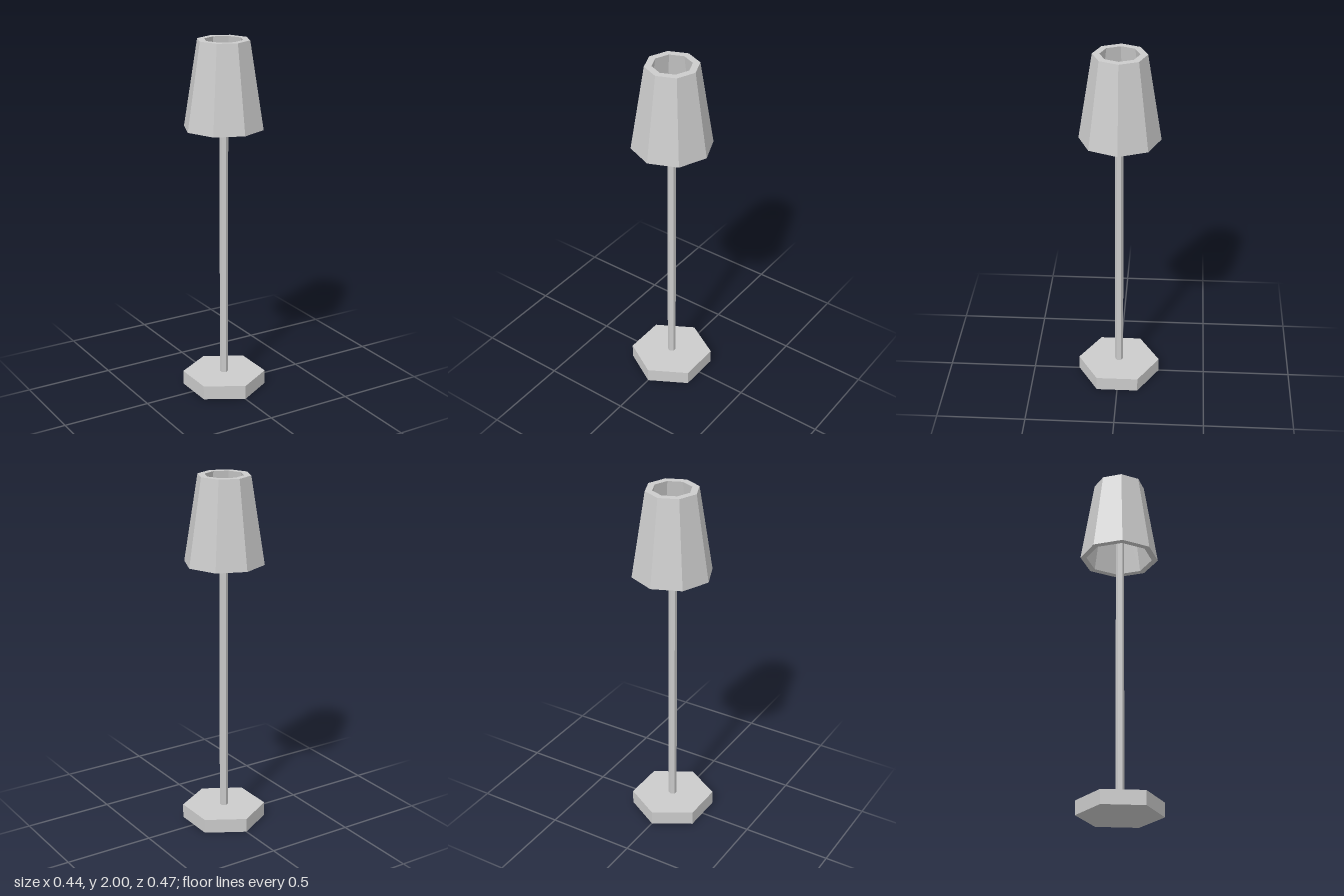
import * as THREE from 'three';

export function createModel() {
  const model = new THREE.Group();
  model.name = 'floorLamp';
  const material = new THREE.MeshStandardMaterial({ color: 0xcccccc, flatShading: true });

  const add = (name, geometry, y, z = 0) => {
    const mesh = new THREE.Mesh(geometry, material);
    mesh.name = name;
    mesh.position.set(0, y, z);
    model.add(mesh);
  };

  // Hexagonal foot
  const baseHeight = 0.08;
  add('base', new THREE.CylinderGeometry(0.235, 0.235, baseHeight, 6), baseHeight / 2);

  // Slim hexagonal pole, ending inside the shade
  const poleTop = 1.76;
  const poleLength = poleTop - baseHeight;
  add('pole', new THREE.CylinderGeometry(0.0235, 0.0235, poleLength, 6), baseHeight + poleLength / 2, -0.001);

  // Thick-walled octagonal shade, open at top and bottom
  const shadeHeight = 0.48;
  const profile = [
    [0.222, 0],
    [0.145, shadeHeight],
    [0.106, shadeHeight],
    [0.187, 0],
    [0.222, 0],
  ].map(([r, y]) => new THREE.Vector2(r, y));
  add('shade', new THREE.LatheGeometry(profile, 8), 2 - shadeHeight, -0.005);

  return model;
}
